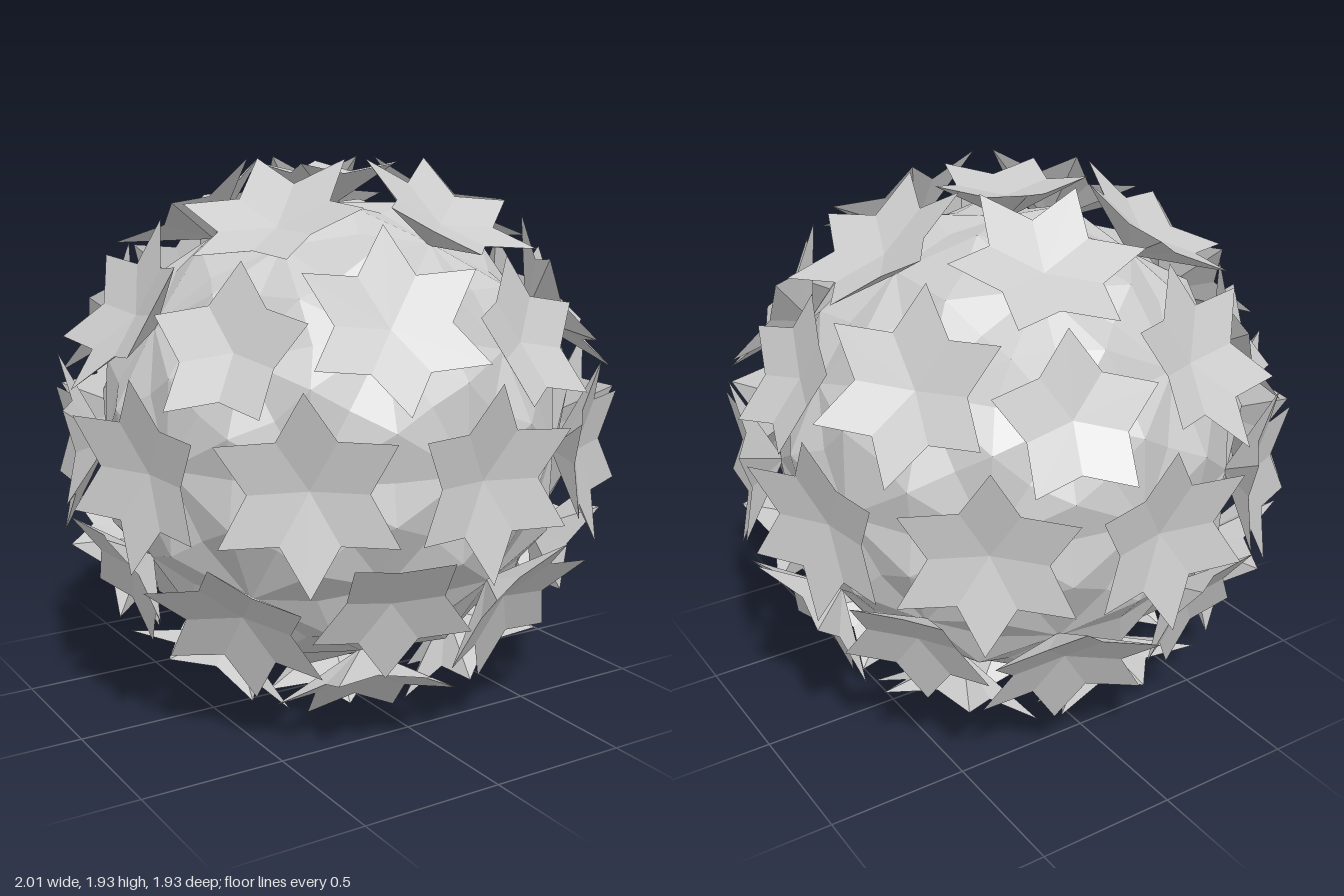
import * as THREE from 'three';

function flatGeometry(pos) {
  const g = new THREE.BufferGeometry();
  g.setAttribute('position', new THREE.Float32BufferAttribute(pos, 3));
  g.computeVertexNormals();
  return g;
}

// Thin dished star facing +z: flat kite petals on top, underside narrowing to a point
function starGeometry({ points, tipR, tipZ, notchR, centreZ, apexZ, turn }) {
  const half = Math.PI / points;
  const notchZ = centreZ + (tipZ - centreZ) * notchR * Math.cos(half) / tipR;
  const at = (r, a, z) => [r * Math.cos(a), r * Math.sin(a), z];
  const centre = [0, 0, centreZ], apex = [0, 0, apexZ];
  const pos = [];
  for (let i = 0; i < points; i++) {
    const a = turn + i * 2 * half;
    const tip = at(tipR, a, tipZ);
    const n0 = at(notchR, a - half, notchZ), n1 = at(notchR, a + half, notchZ);
    pos.push(...centre, ...n0, ...tip, ...centre, ...tip, ...n1);
    pos.push(...tip, ...n0, ...apex, ...n1, ...tip, ...apex);
  }
  return flatGeometry(pos);
}

// The twelve corners of an icosahedron standing on a corner
function icosahedronCorners() {
  const corners = [new THREE.Vector3(0, 1, 0), new THREE.Vector3(0, -1, 0)];
  const y = 1 / Math.sqrt(5), r = 2 / Math.sqrt(5);
  for (let i = 0; i < 5; i++) {
    const a = i * Math.PI * 0.4, b = a + Math.PI / 5;
    corners.push(new THREE.Vector3(r * Math.cos(a), y, r * Math.sin(a)));
    corners.push(new THREE.Vector3(r * Math.cos(b), -y, r * Math.sin(b)));
  }
  return corners;
}

const touching = (a, b) => a !== b && a.dot(b) > 0.4;
const towards = (radius, ...v) =>
  v.reduce((sum, p) => sum.add(p), new THREE.Vector3()).setLength(radius);

// Core of low peaks where three stars meet, with valleys between neighbouring stars
function coreGeometry(corners, cornerR, valleyR, peakR) {
  const pos = [];
  const addPeak = (...tri) => {
    const peak = towards(peakR, ...tri);
    tri.forEach((p, i) => {
      const q = tri[(i + 1) % 3];
      const valley = towards(valleyR, p, q);
      const start = towards(cornerR, p), end = towards(cornerR, q);
      [peak, start, valley, peak, valley, end].forEach((v) => pos.push(v.x, v.y, v.z));
    });
  };
  for (const a of corners) for (const b of corners) for (const c of corners) {
    const first = corners.indexOf(a) < Math.min(corners.indexOf(b), corners.indexOf(c));
    const outward = new THREE.Vector3().crossVectors(a, b).dot(c) > 0;
    if (!first || !outward || !touching(a, b) || !touching(b, c) || !touching(c, a)) continue;
    const ab = towards(1, a, b), bc = towards(1, b, c), ca = towards(1, c, a);
    addPeak(a, ab, ca);
    addPeak(b, bc, ab);
    addPeak(c, ca, bc);
    addPeak(ab, bc, ca);
  }
  return flatGeometry(pos);
}

export function createModel() {
  const model = new THREE.Group();
  model.name = 'starBall';
  const ball = new THREE.Group();
  ball.name = 'ball';
  ball.position.y = 0.966;
  model.add(ball);

  const material = new THREE.MeshStandardMaterial({
    color: 0xcccccc, flatShading: true, side: THREE.DoubleSide,
  });
  const sixStar = starGeometry({
    points: 6, tipR: 0.315, tipZ: 0.965, notchR: 0.185, centreZ: 0.885, apexZ: 0.8, turn: Math.PI / 6,
  });
  const fiveStar = starGeometry({
    points: 5, tipR: 0.272, tipZ: 0.948, notchR: 0.167, centreZ: 0.88, apexZ: 0.8, turn: 0,
  });

  // Places a star along a direction, its local x turned towards a target
  function addStar(name, geometry, n, target) {
    const u = target.clone().addScaledVector(n, -target.dot(n)).normalize();
    const v = new THREE.Vector3().crossVectors(n, u);
    const star = new THREE.Mesh(geometry, material);
    star.name = name;
    star.quaternion.setFromRotationMatrix(new THREE.Matrix4().makeBasis(u, v, n));
    ball.add(star);
  }

  // Five-pointed stars on the corners, six-pointed stars on the edge middles
  const corners = icosahedronCorners();
  corners.forEach((c, i) => {
    addStar('fivePointStar', fiveStar, c, corners.find((d) => touching(c, d)));
    corners.slice(i + 1).filter((d) => touching(c, d)).forEach((d) => {
      addStar('sixPointStar', sixStar, towards(1, c, d), d);
    });
  });

  // Faceted core closing the gaps between the stars
  const core = new THREE.Mesh(coreGeometry(corners, 0.81, 0.81, 0.85), material);
  core.name = 'core';
  ball.add(core);

  return model;
}
